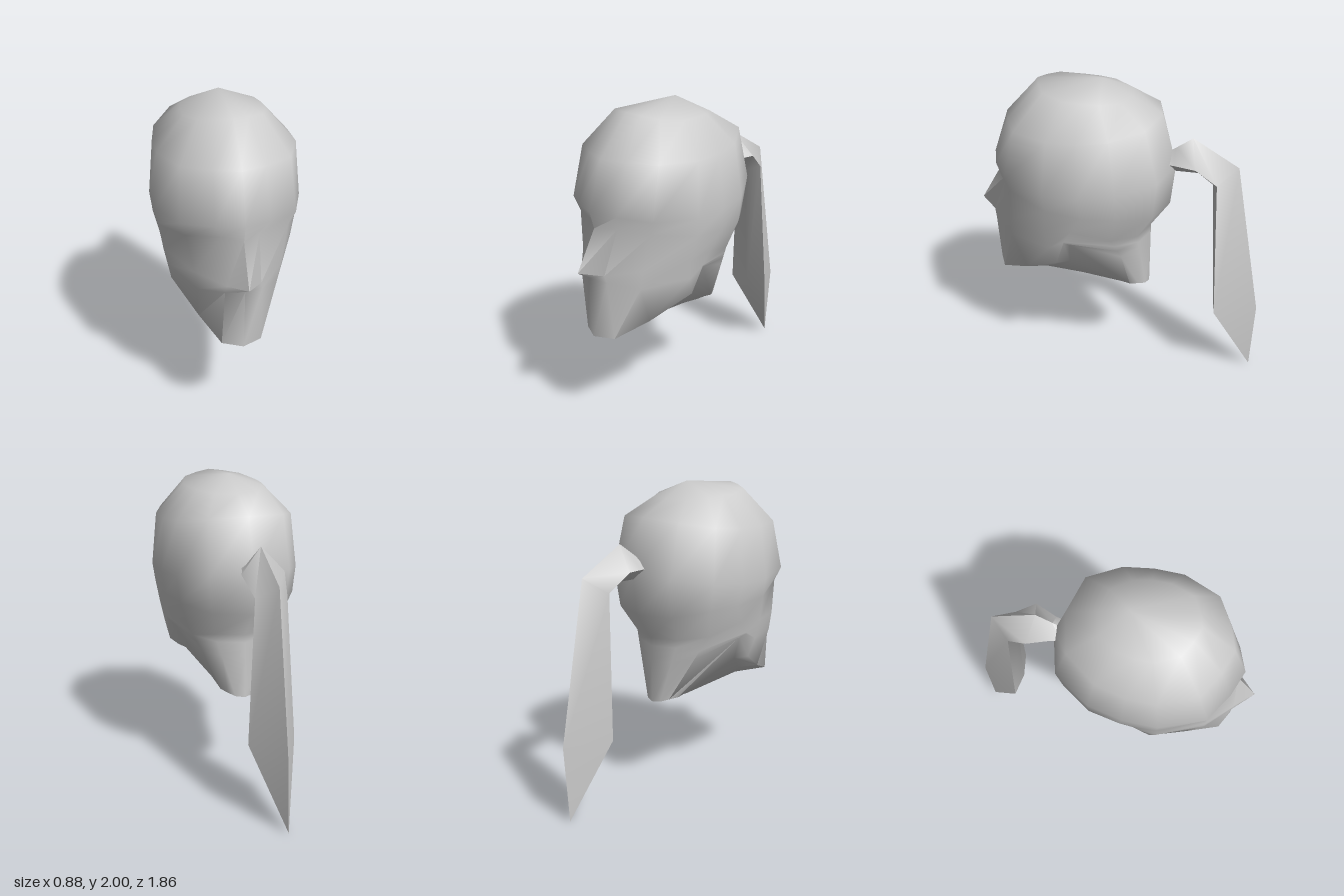
import * as THREE from 'three';
import { toCreasedNormals } from 'three/addons/utils/BufferGeometryUtils.js';

// Skin closed rings of points (top to bottom, counter-clockwise from above)
function loft(rings, crease) {
  const pos = [];
  const same = (a, b) => a.every((v, i) => Math.abs(v - b[i]) < 1e-5);
  const tri = (a, b, c) => {
    if (!same(a, b) && !same(b, c) && !same(a, c)) pos.push(...a, ...b, ...c);
  };
  for (let r = 0; r < rings.length - 1; r++) {
    const up = rings[r], low = rings[r + 1], n = up.length;
    for (let c = 0; c < n; c++) {
      const d = (c + 1) % n;
      tri(up[c], low[c], up[d]);
      tri(up[d], low[c], low[d]);
    }
  }
  const geometry = new THREE.BufferGeometry();
  geometry.setAttribute('position', new THREE.Float32BufferAttribute(pos, 3));
  return toCreasedNormals(geometry, crease);
}

// Complete a half ring (front centre to back centre) with its mirror image
const mirrorRing = half => [
  ...half,
  ...half.slice(1, -1).reverse().map(([x, y, z]) => [-x, y, z]),
];
const lerp = (a, b, t) => a.map((v, i) => v + (b[i] - v) * t);

function headGeometry() {
  // Unit plan outline of the skull: [x, z]
  const outline = [[0, 1], [0.36, 0.9], [0.77, 0.71], [1, 0.25], [1, -0.12], [0.91, -0.49], [0.59, -0.88], [0, -1]];
  const skullRing = ({ w, zf, zb, yf, ys, yb }) => outline.map(([u, v]) => [
    u * w,
    ys + ((v > 0 ? yf : yb) - ys) * v * v,
    (zf + zb) / 2 + v * (zf - zb) / 2,
  ]);
  const skull = [
    { w: 0, zf: 0.1, zb: 0.1, yf: 2, ys: 2, yb: 2 },
    { w: 0.245, zf: 0.51, zb: -0.08, yf: 1.97, ys: 1.92, yb: 1.9 },
    { w: 0.413, zf: 0.72, zb: -0.27, yf: 1.74, ys: 1.73, yb: 1.8 },
    { w: 0.44, zf: 0.82, zb: -0.36, yf: 1.45, ys: 1.39, yb: 1.47 },
  ].map(skullRing);

  // Eye line, nose tip, nose base
  const eyes = [[0, 1.34, 0.79], [0.11, 1.34, 0.71], [0.3, 1.33, 0.63], [0.425, 1.28, 0.37],
    [0.42, 1.25, 0.14], [0.38, 1.24, -0.06], [0.24, 1.21, -0.26], [0, 1.2, -0.33]];
  const nose = [[0, 1.1, 0.93], [0.1, 1.075, 0.815], [0.26, 1.1, 0.66], [0.392, 1.12, 0.39],
    [0.39, 1.13, 0.22], [0.32, 1.06, -0.02], [0.19, 1.04, -0.16], [0, 1.03, -0.21]];
  const lip = [[0, 1.04, 0.84], [0.11, 1.03, 0.805], [0.24, 0.98, 0.66], [0.368, 0.99, 0.37], [0.38, 1.05, 0.27]];
  // Jaw edge and the underside just inside it
  const jaw = [[0, 0.65, 0.83], [0.12, 0.65, 0.77], [0.22, 0.73, 0.57], [0.345, 0.87, 0.33], [0.378, 1.04, 0.268]];
  const under = [[0, 0.675, 0.48], [0.1, 0.675, 0.48], [0.19, 0.745, 0.41], [0.29, 0.86, 0.26], [0.35, 1.02, 0.24]];
  const neck = [[0, 0.61, 0.03], [0.05, 0.61, 0.025], [0.1, 0.63, 0], [0.12, 0.64, -0.04],
    [0.13, 0.635, -0.1], [0.1, 0.625, -0.15], [0.06, 0.61, -0.19], [0, 0.6, -0.205]];
  // The nape runs straight from the back of the skull to the neck
  const withNape = (front, t) => [...front, ...[5, 6, 7].map(c => lerp(nose[c], neck[c], t))];
  const cap = neck.map(() => [0, 0.62, -0.09]);

  const rows = [...skull, eyes, nose, withNape(lip, 0.12), withNape(jaw, 0.22), withNape(under, 0.35), neck, cap];
  return loft(rows.map(mirrorRing), 1.15);
}

function ponytailGeometry() {
  // Diamond sections: inner [y, z], side [x, y, z], outer [y, z]
  const sections = [
    [[1.43, -0.3], [0.07, 1.5, -0.3], [1.55, -0.3]],
    [[1.43, -0.36], [0.08, 1.5, -0.36], [1.59, -0.36]],
    [[1.43, -0.51], [0.135, 1.51, -0.5], [1.66, -0.46]],
    [[1.36, -0.595], [0.1, 1.4, -0.63], [1.49, -0.75]],
    [[0.5, -0.64], [0.15, 0.5, -0.665], [0.48, -0.93]],
  ];
  const rings = sections.map(([inner, [x, y, z], outer]) =>
    [[0, ...inner], [x, y, z], [0, ...outer], [-x, y, z]]);
  rings.push(Array(4).fill([-0.02, 0, -0.91]));
  return loft(rings, 1.3);
}

export function createModel() {
  const group = new THREE.Group();
  const material = new THREE.MeshStandardMaterial({ color: 0xcccccc, side: THREE.DoubleSide });
  const add = (name, geometry) => {
    const mesh = new THREE.Mesh(geometry, material);
    mesh.name = name;
    group.add(mesh);
  };
  add('head', headGeometry());
  add('ponytail', ponytailGeometry());
  return group;
}
